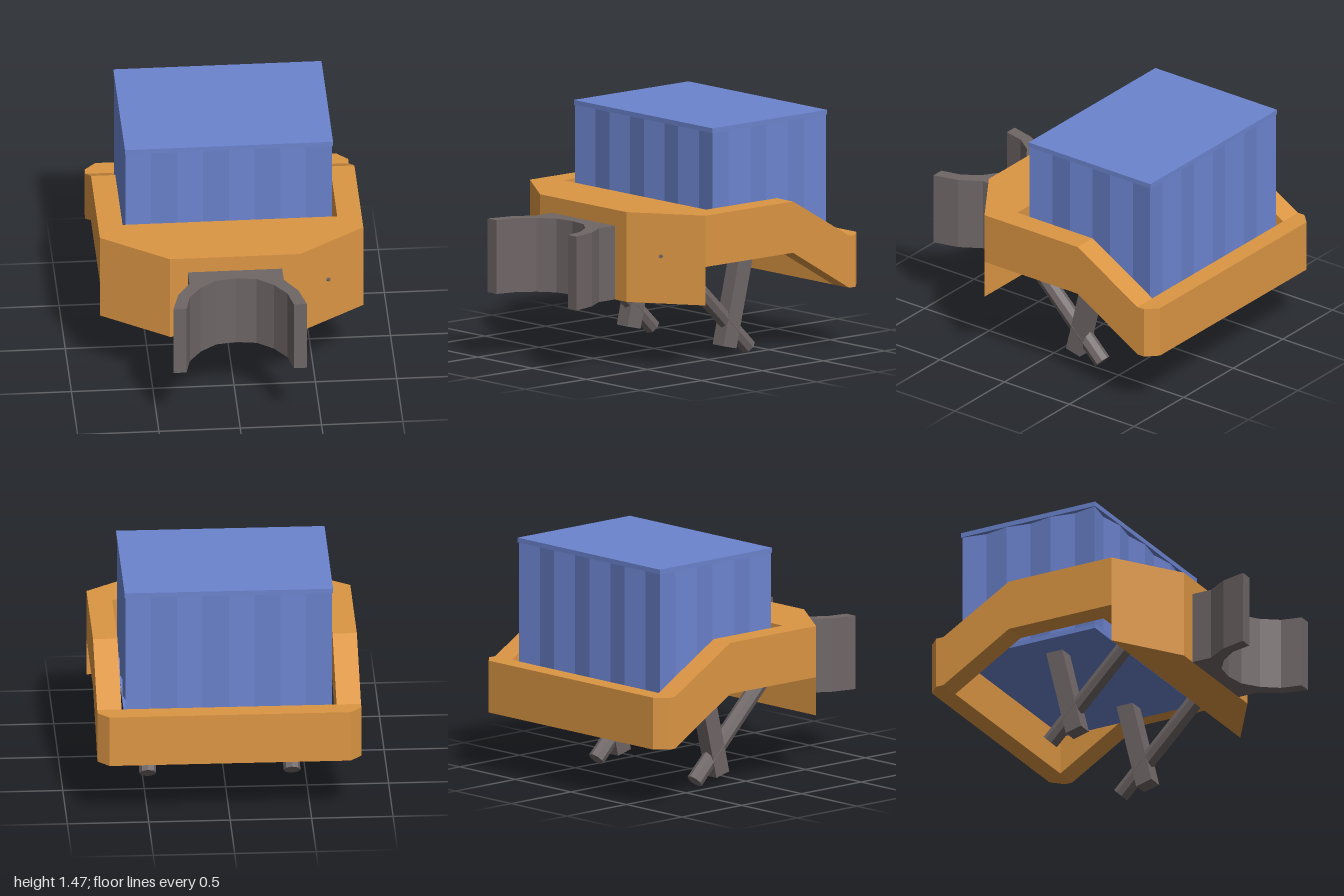
import * as THREE from 'three';

const paint = (color) => new THREE.MeshStandardMaterial({ color, flatShading: true });

// Solid from a plan outline of [x, z] points between two heights
function planSolid(points, y0, y1) {
  const shape = new THREE.Shape(points.map(([x, z]) => new THREE.Vector2(x, -z)));
  const geo = new THREE.ExtrudeGeometry(shape, { depth: y1 - y0, bevelEnabled: false });
  return geo.rotateX(-Math.PI / 2).translate(0, y0, 0);
}

// Solid from a side outline of [z, y] points between two x positions
function sideSolid(points, x0, x1) {
  const shape = new THREE.Shape(points.map(([z, y]) => new THREE.Vector2(z, y)));
  const geo = new THREE.ExtrudeGeometry(shape, { depth: x1 - x0, bevelEnabled: false });
  return geo.rotateY(-Math.PI / 2).translate(x1, 0, 0);
}

// Completes a half outline by mirroring it across x = 0
const mirrored = (half) => [...half, ...half.filter(([x]) => x !== 0).reverse().map(([x, z]) => [-x, z])];

// Rectangular outline whose edges zigzag inwards
function zigzagOutline(x0, x1, z0, z1, depth) {
  const corners = [[x0, z1], [x1, z1], [x1, z0], [x0, z0]];
  const inward = [[0, -1], [-1, 0], [0, 1], [1, 0]];
  const points = [];
  corners.forEach(([ax, az], e) => {
    const [bx, bz] = corners[(e + 1) % 4];
    const n = e % 2 ? 6 : 8;
    for (let i = 0; i < n; i++) {
      const t = i / n, d = i % 2 ? depth : 0;
      points.push([ax + (bx - ax) * t + inward[e][0] * d, az + (bz - az) * t + inward[e][1] * d]);
    }
  });
  return points;
}

export function createModel() {
  const model = new THREE.Group();
  const orange = paint(0xdc9644), blue = paint(0x6c84cf), grey = paint(0x6f6666);
  const add = (name, geometry, material, parent = model) => {
    const mesh = new THREE.Mesh(geometry, material);
    mesh.name = name;
    parent.add(mesh);
    return mesh;
  };

  // Frame: wedge-shaped front block, dropped side rails, chamfered rear bar
  const frame = new THREE.Group();
  frame.name = 'frame';
  model.add(frame);
  add('frontBlock', planSolid(mirrored([[0.81, 0.3], [0.4, 0.58]]), 0.42, 0.98), orange, frame);
  add('frontCrossRail', planSolid(mirrored([[0.66, 0.16], [0.66, 0.3]]), 0.66, 0.98), orange, frame);
  const rail = [[0.3, 0.98], [0.3, 0.66], [-0.42, 0.66], [-0.88, 0.385], [-0.88, 0.71], [-0.42, 0.98]];
  add('leftRail', sideSolid(rail, 0.66, 0.81), orange, frame);
  add('rightRail', sideSolid(rail, -0.81, -0.66), orange, frame);
  add('rearBar', planSolid(mirrored([[0.74, -1], [0.81, -0.93], [0.81, -0.88]]), 0.385, 0.71), orange, frame);

  // Container: corrugated walls between a flat lid and floor
  const box = new THREE.Group();
  box.name = 'container';
  model.add(box);
  const slab = (name, y0, y1) =>
    add(name, new THREE.BoxGeometry(1.28, y1 - y0, 0.94).translate(0, (y0 + y1) / 2, -0.38), blue, box);
  slab('containerFloor', 0.62, 0.65);
  slab('containerLid', 1.445, 1.475);
  add('corrugatedWalls', planSolid(zigzagOutline(-0.635, 0.635, -0.845, 0.085, 0.028), 0.65, 1.445), blue, box);

  // Forked front clamp
  const fork = [[0, 0.67], [0.125, 0.69], [0.225, 0.765], [0.3, 0.87], [0.33, 1],
    [0.41, 1], [0.37, 0.84], [0.29, 0.71], [0.29, 0.57]];
  add('frontClamp', planSolid(mirrored(fork), 0.42, 0.88), grey);

  // Crossed supports: slanted rod and flat strut on each side
  const up = new THREE.Vector3(0, 1, 0);
  const between = (name, geo, a, b) => {
    const from = new THREE.Vector3(...a), to = new THREE.Vector3(...b);
    const mesh = add(name, geo(from.distanceTo(to)), grey);
    mesh.position.lerpVectors(from, to, 0.5);
    mesh.quaternion.setFromUnitVectors(up, to.sub(from).normalize());
  };
  const rod = (r) => (len) => new THREE.CylinderGeometry(r, r, len, 8);
  [['left', 0.47], ['right', -0.415]].forEach(([side, x]) => {
    between(side + 'Rod', rod(0.052), [x, 0.64, 0.255], [x, 0.04, -0.35]);
    between(side + 'Strut', (len) => new THREE.BoxGeometry(0.1, len, 0.11), [x, 0.64, -0.3], [x, 0.062, -0.16]);
  });
  between('crossRod', rod(0.035), [-0.415, 0.6, 0.215], [0.47, 0.6, 0.215]);

  // Small stud on the left front chamfer
  const stud = add('stud', new THREE.CylinderGeometry(0.012, 0.012, 0.02, 6), grey);
  stud.position.set(0.582, 0.715, 0.46);
  stud.quaternion.setFromUnitVectors(up, new THREE.Vector3(0.28, 0, 0.41).normalize());

  return model;
}
